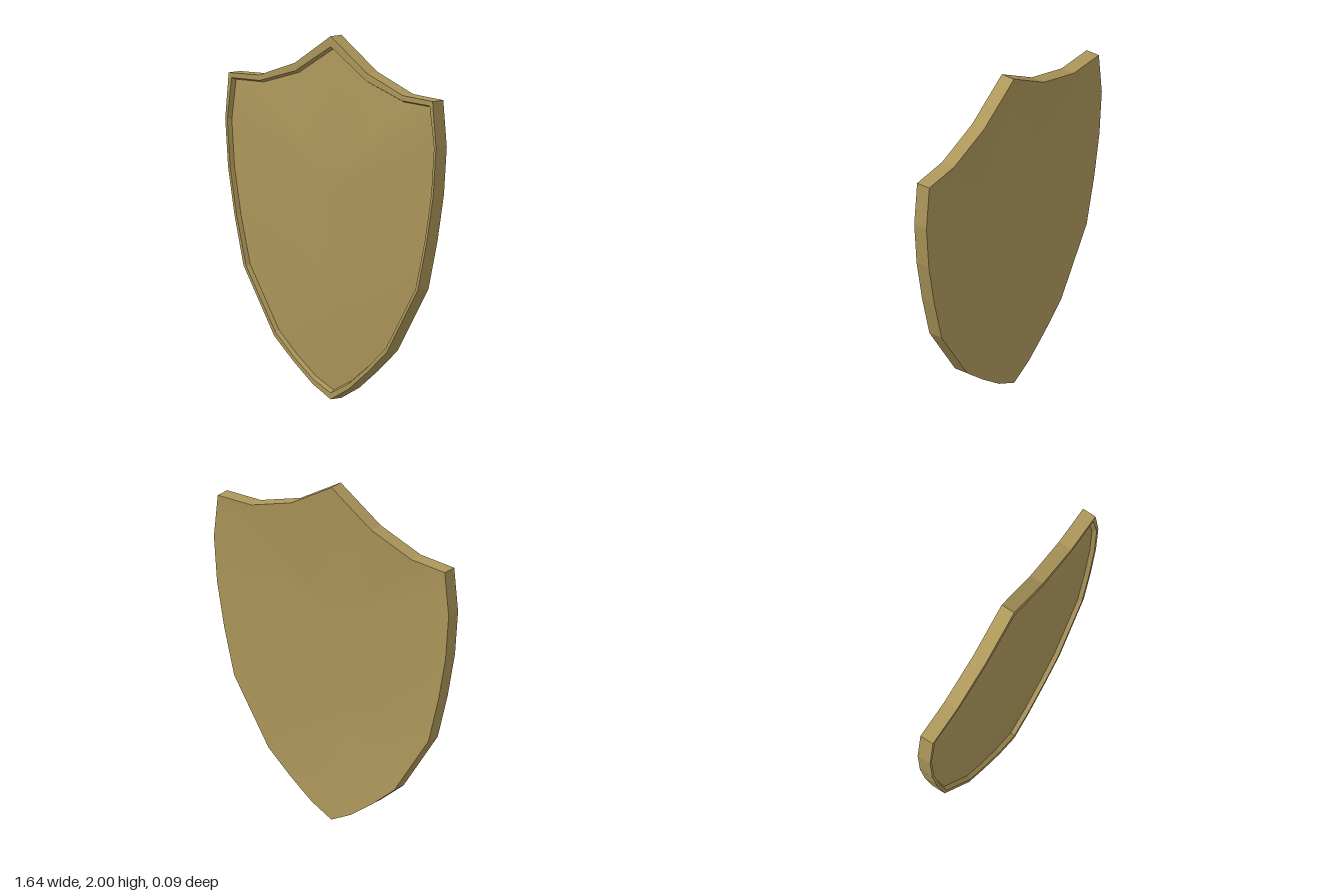
import * as THREE from 'three';
import { mergeVertices } from 'three/addons/utils/BufferGeometryUtils.js';

const FRONT = 0.035, BACK = -0.047, PEAK = 0.047, PANEL_EDGE = 0.012, HOLLOW = -0.008;

// Half outlines from the top point, down the +x side, to the bottom point
const OUTER = [[0, 2], [0.28, 1.825], [0.56, 1.73], [0.795, 1.72], [0.822, 1.465], [0.8, 1.2],
  [0.75, 0.94], [0.68, 0.67], [0.44, 0.305], [0.29, 0.18], [0.14, 0.07], [0, 0]];
const INNER = [[0, 1.942], [0.275, 1.782], [0.555, 1.7], [0.772, 1.694], [0.806, 1.465], [0.784, 1.2],
  [0.733, 0.94], [0.66, 0.67], [0.43, 0.325], [0.285, 0.203], [0.138, 0.098], [0, 0.035]];

// Mirror a half outline into a closed loop at depth z
function loop(half, z) {
  const left = half.slice(1, -1).reverse().map(([x, y]) => [-x, y]);
  return [...half, ...left].map(([x, y]) => new THREE.Vector3(x, y, z));
}

// Skin a chain of loops, ordered back to front and outside to inside
function skin(loops, smooth) {
  const n = loops[0].length, pos = [], index = [];
  loops.forEach(l => l.forEach(p => pos.push(p.x, p.y, p.z)));
  for (let r = 0; r < loops.length - 1; r++) {
    for (let i = 0; i < n; i++) {
      const j = (i + 1) % n, a = r * n, b = a + n;
      index.push(a + i, b + i, b + j, a + i, b + j, a + j);
    }
  }
  let geo = new THREE.BufferGeometry();
  geo.setAttribute('position', new THREE.Float32BufferAttribute(pos, 3));
  geo.setIndex(index);
  geo = smooth ? mergeVertices(geo) : geo.toNonIndexed();
  geo.computeVertexNormals();
  return geo;
}

// Shrink an edge loop towards a short upright spine, curving to centreZ
function dome(edge, centreZ, steps) {
  const rings = [];
  for (let s = 0; s <= steps; s++) {
    const t = 1 - s / steps;
    rings.push(edge.map(p => {
      const spineY = THREE.MathUtils.clamp(p.y, 0.7, 1.2);
      return new THREE.Vector3(p.x * t, spineY + (p.y - spineY) * t,
        centreZ + (p.z - centreZ) * Math.pow(t, 1.5));
    }));
  }
  return rings;
}

export function createModel() {
  const group = new THREE.Group();
  group.name = 'shield';
  const brass = new THREE.MeshStandardMaterial({ color: 0xae985b });
  brass.name = 'brass';

  const add = (name, geometry) => {
    const mesh = new THREE.Mesh(geometry, brass);
    mesh.name = name;
    group.add(mesh);
  };

  const back = loop(OUTER, BACK);
  const front = loop(OUTER, FRONT);
  const rimInner = loop(INNER, FRONT);
  // Panel edge sits slightly inside and behind the rim
  const panelEdge = loop(INNER.map(([x, y]) => [x * 0.985, 1 + (y - 1) * 0.986]), PANEL_EDGE);

  add('outerEdge', skin([back, front], false));
  add('frontRim', skin([front, rimInner], false));
  add('rimInnerWall', skin([rimInner, panelEdge], false));
  add('frontPanel', skin(dome(panelEdge, PEAK, 6), true));
  // Hollow back
  add('backPanel', skin(dome(back, HOLLOW, 6).reverse(), true));
  return group;
}
